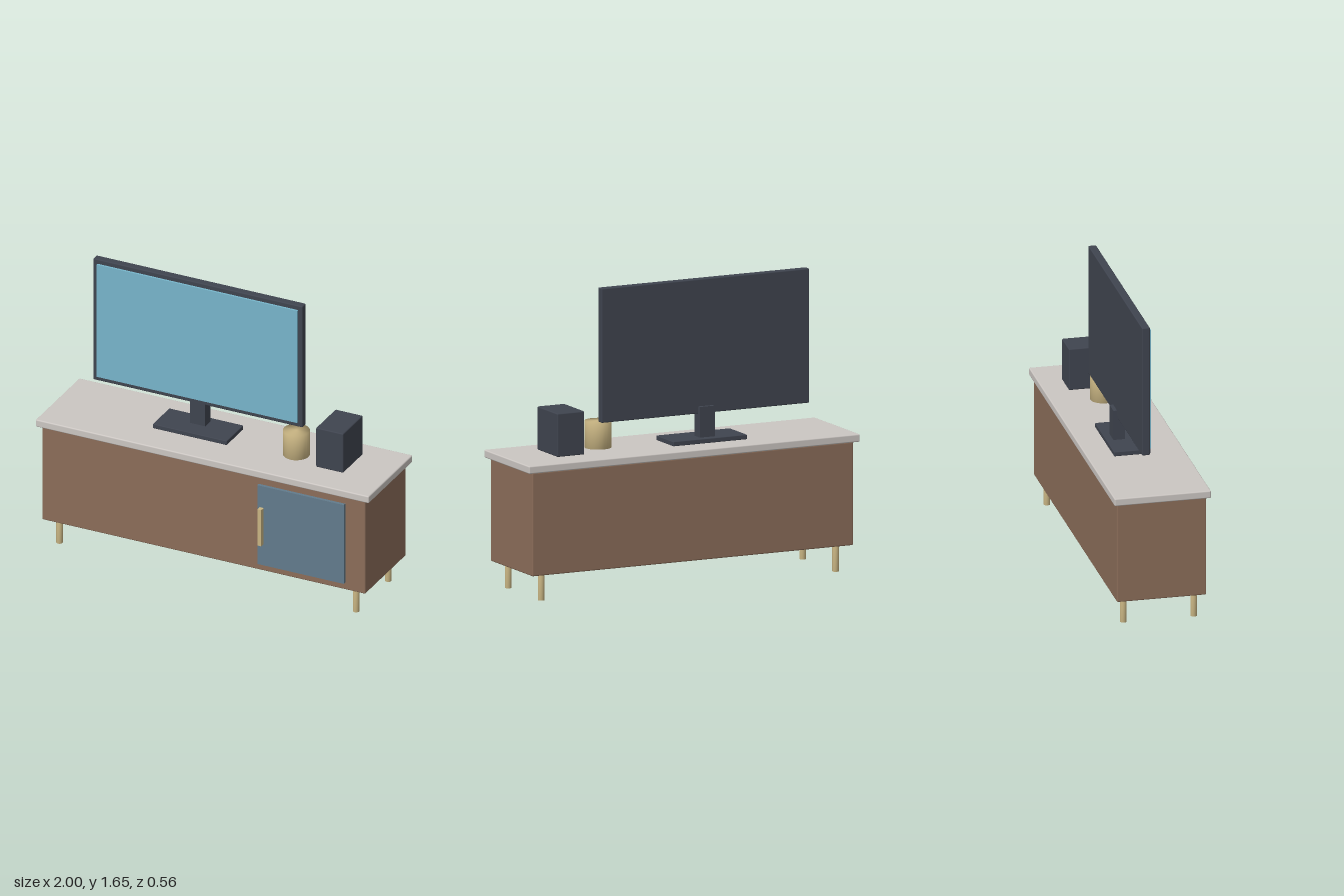
import * as THREE from 'three';
import { mergeVertices } from 'three/addons/utils/BufferGeometryUtils.js';
import { RoundedBoxGeometry } from 'three/addons/geometries/RoundedBoxGeometry.js';

function material(name, color) {
  const m = new THREE.MeshStandardMaterial({ color });
  m.name = name;
  return m;
}

export function createModel() {
  const group = new THREE.Group();
  const wood = material('walnut', 0x8b6d59);
  const stone = material('pale stone', 0xcbc6c2);
  const charcoal = material('charcoal', 0x3f444f);
  const brass = material('brass', 0xc9b583);
  const slate = material('slate blue', 0x627b8c);
  const glass = material('screen blue', 0x77b5cb);

  const add = (name, geometry, mat, x, y, z) => {
    const mesh = new THREE.Mesh(geometry, mat);
    mesh.name = name;
    mesh.position.set(x, y, z);
    group.add(mesh);
    return mesh;
  };

  // Box given by its extents on each axis, with an optional eased edge
  const box = (name, mat, [x0, x1], [y0, y1], [z0, z1], edge = 0) => {
    const size = [x1 - x0, y1 - y0, z1 - z0];
    const geometry = edge
      ? new RoundedBoxGeometry(...size, 2, edge)
      : new THREE.BoxGeometry(...size);
    return add(name, geometry, mat, (x0 + x1) / 2, (y0 + y1) / 2, (z0 + z1) / 2);
  };

  // Cylinder whose shading runs smoothly over the rims
  const softCylinder = (name, mat, radius, y0, y1, x, z) => {
    let geometry = new THREE.CylinderGeometry(radius, radius, y1 - y0, 24);
    geometry.deleteAttribute('normal');
    geometry.deleteAttribute('uv');
    geometry = mergeVertices(geometry);
    geometry.computeVertexNormals();
    return add(name, geometry, mat, x, (y0 + y1) / 2, z);
  };

  // Cabinet
  box('cabinetBody', wood, [-0.97, 0.97], [0.145, 0.712], [-0.26, 0.235], 0.007);
  box('cabinetTop', stone, [-1, 1], [0.712, 0.755], [-0.28, 0.254], 0.007);
  box('door', slate, [0.331, 0.85], [0.188, 0.668], [0.23, 0.253]);
  box('doorHandle', brass, [0.346, 0.369], [0.318, 0.538], [0.25, 0.283]);
  for (const x of [-0.89, 0.89]) {
    for (const z of [-0.206, 0.183]) softCylinder('leg', brass, 0.018, 0, 0.15, x, z);
  }

  // Television
  box('televisionBase', charcoal, [-0.39, 0.055], [0.756, 0.782], [-0.138, 0.065], 0.004);
  box('televisionNeck', charcoal, [-0.215, -0.124], [0.775, 0.95], [-0.1, -0.036]);
  box('televisionFrame', charcoal, [-0.797, 0.459], [0.91, 1.647], [-0.08, -0.036], 0.006);
  box('screen', glass, [-0.77, 0.434], [0.938, 1.621], [-0.04, -0.024]);

  // Objects on the cabinet
  softCylinder('vase', brass, 0.073, 0.763, 0.91, 0.441, 0);
  box('speaker', charcoal, [0.6, 0.764], [0.763, 1.001], [-0.153, 0.086], 0.006);

  return group;
}
